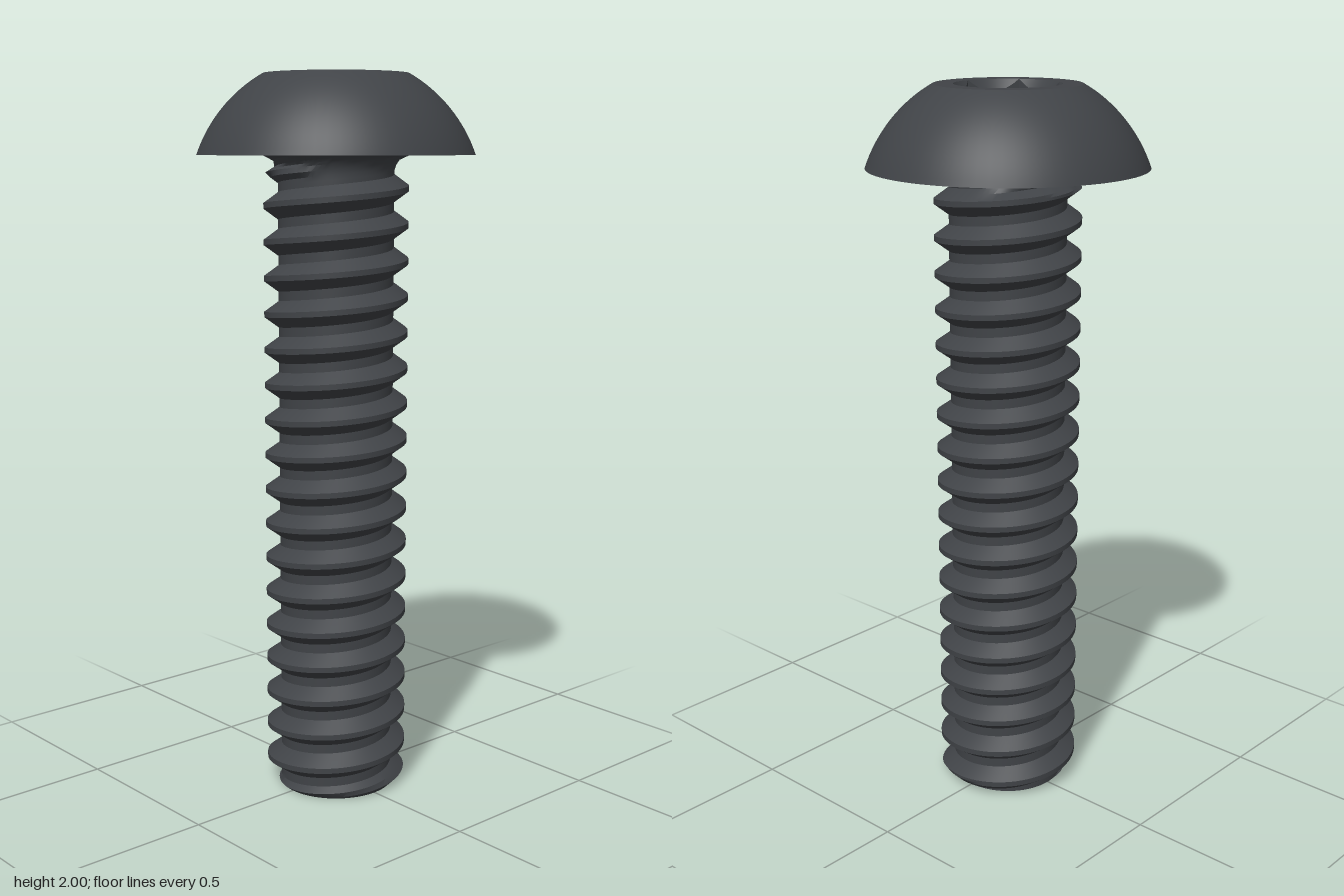
import * as THREE from 'three';
import { toCreasedNormals } from 'three/addons/utils/BufferGeometryUtils.js';

const SEGMENTS = 72;
const HEAD_BASE = 1.785, TOP = 2;
const PITCH = 0.0985, CREST = 0.198, ROOT = 0.158;
const HEX_CORNER = 0.143, SOCKET_DEPTH = 0.13;

// Surface swept around the y axis; point(theta, row) gives [radius, height].
function sweep(name, rows, point, material) {
  const at = (i, j) => {
    const theta = ((i % SEGMENTS) / SEGMENTS) * Math.PI * 2;
    // the last column keeps its full turn so a helix closes on the next row
    const [r, y] = point((i / SEGMENTS) * Math.PI * 2, j);
    return new THREE.Vector3(r * Math.cos(theta), y, -r * Math.sin(theta));
  };
  const positions = [];
  const addTriangle = (a, b, c) => {
    const area = b.clone().sub(a).cross(c.clone().sub(a)).length();
    if (area > 1e-9) for (const p of [a, b, c]) positions.push(p.x, p.y, p.z);
  };
  for (let j = 0; j < rows - 1; j++) {
    for (let i = 0; i < SEGMENTS; i++) {
      const a = at(i, j), b = at(i + 1, j), c = at(i + 1, j + 1), d = at(i, j + 1);
      addTriangle(a, b, c);
      addTriangle(a, c, d);
    }
  }
  const geometry = new THREE.BufferGeometry();
  geometry.setAttribute('position', new THREE.Float32BufferAttribute(positions, 3));
  const mesh = new THREE.Mesh(toCreasedNormals(geometry, 0.5), material);
  mesh.name = name;
  return mesh;
}

// Radius of the threaded shank, with end chamfer and fillet under the head
function shankRadius(theta, y) {
  const turns = (y - 0.01) / PITCH - theta / (Math.PI * 2);
  const fromCrest = Math.abs(turns - Math.round(turns)) * PITCH;
  const flank = THREE.MathUtils.clamp((fromCrest - 0.0075) / 0.029, 0, 1);
  let r = THREE.MathUtils.lerp(CREST, ROOT, flank);
  r = Math.min(r, 0.165 + y);
  const neck = THREE.MathUtils.clamp((y - (HEAD_BASE - 0.05)) / 0.05, 0, 1);
  if (neck > 0) r = Math.max(ROOT + 0.042 * (1 - Math.sqrt(1 - neck * neck)), r - neck * 0.08);
  return r;
}

function makeShank(material) {
  const steps = [-0.0075, 0, 0.0075, 0.022, 0.0365, 0.0493, 0.062, 0.0765];
  const rows = 21 * steps.length;
  return sweep('threadedShank', rows + 1, (theta, row) => {
    if (row === 0) return [0, 0];
    const k = row - 1;
    const turn = Math.floor(k / steps.length) - 2 + theta / (Math.PI * 2);
    const y = 0.01 + PITCH * turn + steps[k % steps.length];
    const clamped = THREE.MathUtils.clamp(y, 0, HEAD_BASE);
    return [shankRadius(theta, clamped), clamped];
  }, material);
}

// Domed head: flat underside, spherical cap, flat rim around the socket
function makeHead(material) {
  const radius = 0.4, centre = 1.652, profile = [[0, HEAD_BASE]];
  const low = Math.asin((HEAD_BASE - centre) / radius);
  const high = Math.asin((TOP - centre) / radius);
  for (let i = 0; i <= 16; i++) {
    const a = THREE.MathUtils.lerp(low, high, i / 16);
    profile.push([radius * Math.cos(a), centre + radius * Math.sin(a)]);
  }
  profile.push([HEX_CORNER, TOP]);
  return sweep('head', profile.length, (theta, row) => profile[row], material);
}

// Hexagonal socket with a conical lead-in
function makeSocket(material) {
  const sector = Math.PI / 3;
  return sweep('hexSocket', 4, (theta, row) => {
    const local = (theta % sector) - sector / 2;
    const hex = (HEX_CORNER * Math.cos(sector / 2)) / Math.cos(local);
    const floor = TOP - SOCKET_DEPTH;
    return [
      [HEX_CORNER, TOP],
      [hex, TOP - (HEX_CORNER - hex) * 1.6],
      [hex, floor],
      [0, floor],
    ][row];
  }, material);
}

export function createModel() {
  const material = new THREE.MeshStandardMaterial({ color: 0x404347 });
  const group = new THREE.Group();
  group.name = 'buttonHeadScrew';
  group.add(makeShank(material), makeHead(material), makeSocket(material));
  return group;
}
